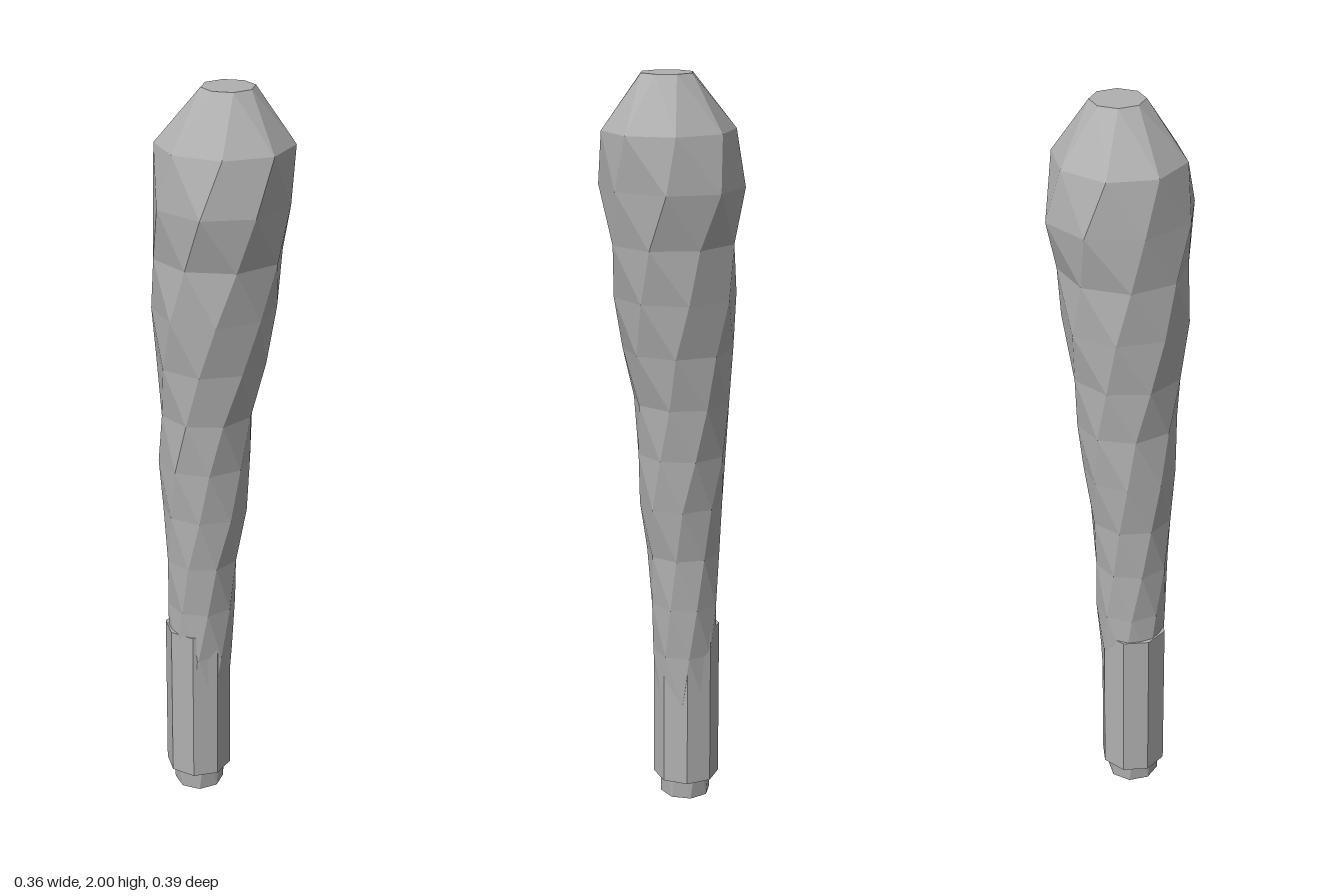
import * as THREE from 'three';

const SIDES = 8;
const STEP = 2 / 14;             // height between rings
const TWIST = 13.5 * Math.PI / 180; // turn between rings
const TOP_PHASE = -19 * Math.PI / 180;

// Rings from the top down: centre x, centre z, radius along x, radius along z
const RINGS = [
  [0.012, 0, 0.069, 0.07],
  [0.004, 0, 0.177, 0.168],
  [-0.005, 0, 0.18, 0.196],
  [-0.012, 0.002, 0.17, 0.165],
  [-0.023, 0.003, 0.161, 0.165],
  [-0.032, 0.003, 0.146, 0.145],
  [-0.042, 0, 0.125, 0.133],
  [-0.05, 0.002, 0.122, 0.121],
  [-0.049, 0.006, 0.113, 0.109],
  [-0.058, 0.007, 0.099, 0.1],
  [-0.059, 0.003, 0.093, 0.095],
  [-0.063, 0.004, 0.087, 0.088],
  [-0.066, 0.005, 0.082, 0.083],
  [-0.068, 0.006, 0.073, 0.075],
  [-0.068, 0.007, 0.068, 0.071],
];

// Twisted, slightly bent shaft with closed ends
function twistedShaft() {
  const positions = [];
  const index = [];
  RINGS.forEach(([cx, cz, rx, rz], k) => {
    for (let i = 0; i < SIDES; i++) {
      const a = TOP_PHASE + k * TWIST + i * Math.PI * 2 / SIDES;
      positions.push(cx + rx * Math.cos(a), 2 - k * STEP, cz + rz * Math.sin(a));
    }
  });
  const last = (RINGS.length - 1) * SIDES;
  for (let k = 0; k < RINGS.length - 1; k++) {
    for (let i = 0; i < SIDES; i++) {
      const j = (i + 1) % SIDES;
      const a = k * SIDES + i, b = k * SIDES + j;
      const c = a + SIDES, d = b + SIDES;
      index.push(a, b, c, b, d, c);
    }
  }
  for (let i = 1; i < SIDES - 1; i++) {
    index.push(0, i + 1, i);                      // top cap
    index.push(last, last + i, last + i + 1);     // bottom cap
  }
  const geometry = new THREE.BufferGeometry();
  geometry.setAttribute('position', new THREE.Float32BufferAttribute(positions, 3));
  geometry.setIndex(index);
  const flat = geometry.toNonIndexed();
  flat.computeVertexNormals();
  return flat;
}

export function createModel() {
  const model = new THREE.Group();
  model.name = 'club';

  const grey = new THREE.MeshStandardMaterial({ color: 0xb0b0b0 });
  grey.name = 'grey';
  grey.flatShading = true;

  const shaft = new THREE.Mesh(twistedShaft(), grey);
  shaft.name = 'shaft';
  model.add(shaft);

  // Octagonal sleeve around the handle
  const grip = new THREE.Mesh(new THREE.CylinderGeometry(0.09, 0.09, 0.445, SIDES), grey);
  grip.name = 'grip';
  grip.position.set(-0.07, 0.2775, 0.005);
  model.add(grip);

  return model;
}
